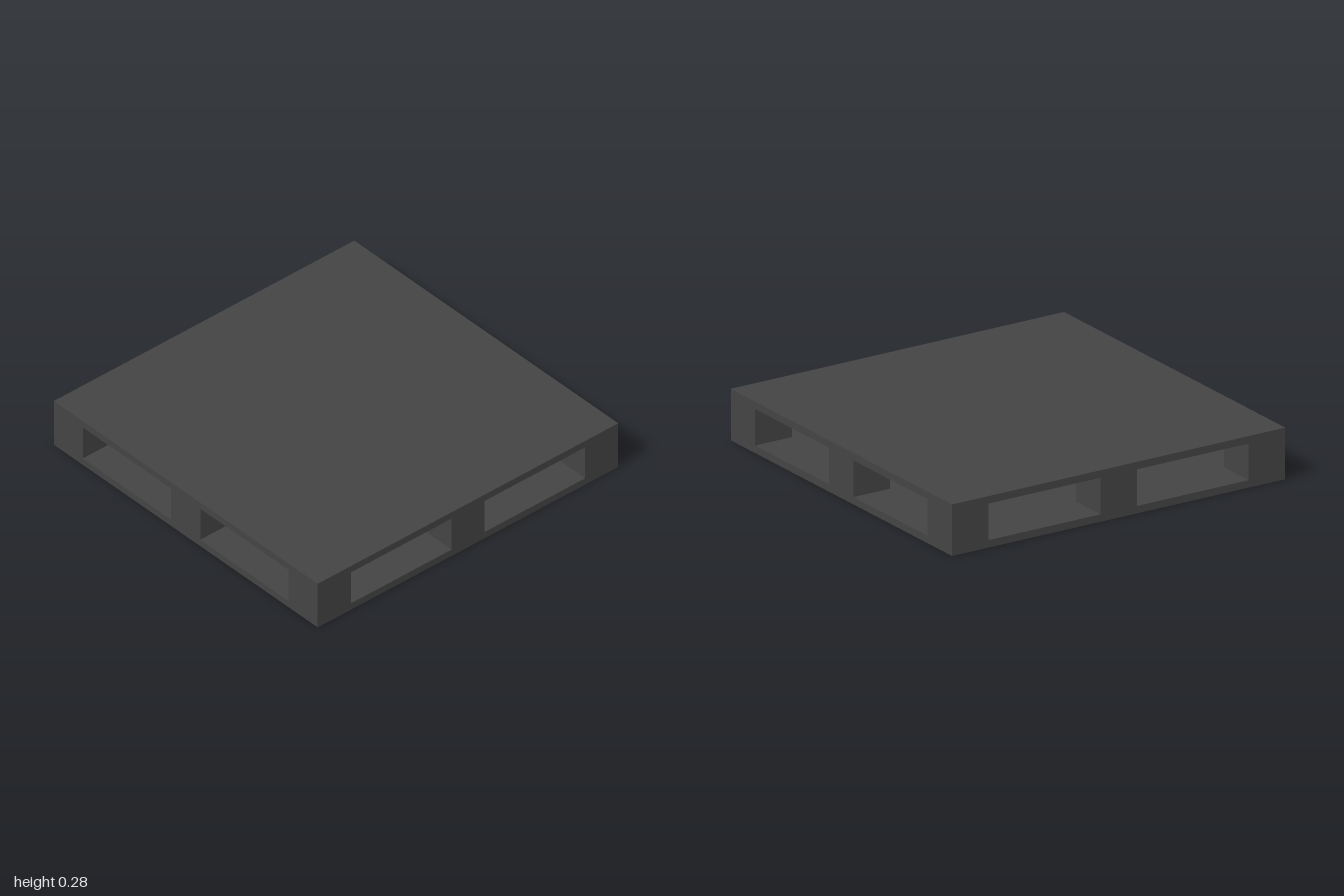
import * as THREE from 'three';

export function createModel() {
  const model = new THREE.Group();
  model.name = 'pallet';
  const darkGrey = new THREE.MeshStandardMaterial({ color: 0x444444 });
  darkGrey.name = 'dark grey';

  const HEIGHT = 0.275, DECK = 0.04, BLOCK = 0.22;

  function addBox(name, w, h, d, x, y, z) {
    const mesh = new THREE.Mesh(new THREE.BoxGeometry(w, h, d), darkGrey);
    mesh.name = name;
    mesh.position.set(x, y, z);
    model.add(mesh);
  }

  // Full-width decks
  addBox('bottomDeck', 2, DECK, 2, 0, DECK / 2, 0);
  addBox('topDeck', 2, DECK, 2, 0, HEIGHT - DECK / 2, 0);

  // Three by three spacer blocks, leaving fork openings on all four sides
  const offset = 1 - BLOCK / 2;
  for (const x of [-offset, 0, offset]) {
    for (const z of [-offset, 0, offset]) {
      addBox('spacerBlock', BLOCK, HEIGHT - 2 * DECK, BLOCK, x, HEIGHT / 2, z);
    }
  }
  return model;
}
